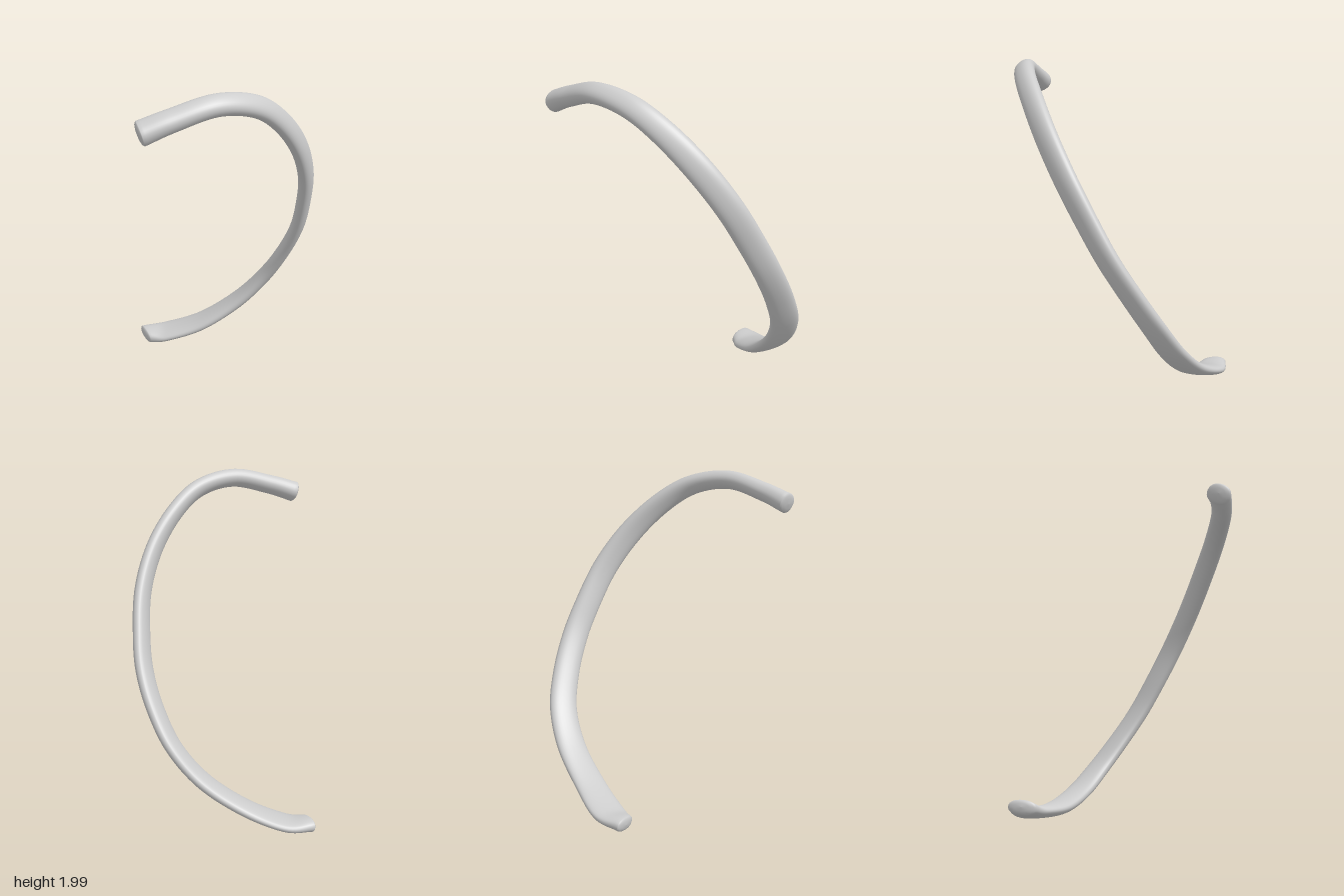
import * as THREE from 'three';

// Stations along the bone: centre xyz, direction of the wide axis xyz, half width, half thickness
const stations = [
  [-0.66, 1.825, 0.535, 0.10, 0.45, -0.90, 0.073, 0.062],
  [-0.50, 1.88, 0.57, 0.10, 0.55, -0.83, 0.067, 0.056],
  [-0.25, 1.94, 0.605, 0.05, 0.60, -0.80, 0.065, 0.052],
  [0.00, 1.90, 0.59, 0.25, 0.65, -0.72, 0.069, 0.049],
  [0.20, 1.775, 0.535, 0.38, 0.65, -0.65, 0.074, 0.047],
  [0.38, 1.585, 0.45, 0.49, 0.64, -0.58, 0.079, 0.045],
  [0.51, 1.36, 0.34, 0.60, 0.52, -0.60, 0.081, 0.044],
  [0.58, 1.12, 0.215, 0.66, 0.42, -0.60, 0.082, 0.043],
  [0.61, 0.93, 0.11, 0.70, 0.36, -0.61, 0.083, 0.043],
  [0.60, 0.73, -0.015, 0.70, 0.32, -0.64, 0.085, 0.042],
  [0.545, 0.525, -0.145, 0.66, 0.26, -0.70, 0.089, 0.041],
  [0.41, 0.325, -0.265, 0.60, 0.18, -0.77, 0.096, 0.040],
  [0.20, 0.155, -0.39, 0.52, 0.12, -0.85, 0.103, 0.038],
  [0.00, 0.065, -0.52, 0.42, 0.08, -0.90, 0.110, 0.036],
  [-0.135, 0.05, -0.575, 0.05, 0.12, -0.99, 0.082, 0.044],
];

const SIDES = 32;
const STEPS = 120;

// Smooth curve through three consecutive columns of the stations
const column = (k) => new THREE.CatmullRomCurve3(
  stations.map((s) => new THREE.Vector3(s[k], s[k + 1], s[k + 2] ?? 0)), false, 'catmullrom', 0.5);

function ribGeometry() {
  const centre = column(0);
  const wide = column(3);
  const size = column(6);
  const positions = [];
  const index = [];

  // One slightly flattened oval ring; scale and push shape the rounded ends
  const addRing = (u, scale, push) => {
    const t = centre.getTangent(u);
    const p = centre.getPoint(u).addScaledVector(t, push);
    const w = wide.getPoint(u).normalize();
    const n = new THREE.Vector3().crossVectors(t, w).normalize();
    const s = size.getPoint(u);
    const round = (v) => Math.sign(v) * Math.abs(v) ** 0.9;
    for (let j = 0; j < SIDES; j++) {
      const a = (j / SIDES) * Math.PI * 2;
      const q = p.clone()
        .addScaledVector(w, s.x * scale * round(Math.cos(a)))
        .addScaledVector(n, s.y * scale * round(Math.sin(a)));
      positions.push(q.x, q.y, q.z);
    }
  };

  const cap = [[0, 0.018], [0.5, 0.016], [0.8, 0.011], [0.94, 0.005]];
  cap.forEach(([scale, push]) => addRing(0, scale, -push));
  for (let i = 0; i <= STEPS; i++) addRing(i / STEPS, 1, 0);
  [...cap].reverse().forEach(([scale, push]) => addRing(1, scale, push));

  const rings = positions.length / 3 / SIDES;
  for (let i = 0; i < rings - 1; i++) {
    for (let j = 0; j < SIDES; j++) {
      const k = (j + 1) % SIDES;
      const a = i * SIDES + j, b = i * SIDES + k;
      const c = a + SIDES, d = b + SIDES;
      if (i > 0) index.push(a, b, c);
      else index.push(a, d, c);
      if (i > 0 && i < rings - 2) index.push(b, d, c);
    }
  }
  const geometry = new THREE.BufferGeometry();
  geometry.setAttribute('position', new THREE.Float32BufferAttribute(positions, 3));
  geometry.setIndex(index);
  geometry.computeVertexNormals();
  return geometry;
}

export function createModel() {
  const group = new THREE.Group();
  group.name = 'rib';
  const bone = new THREE.MeshStandardMaterial({ color: 0xcccccc });
  bone.name = 'bone grey';
  const shaft = new THREE.Mesh(ribGeometry(), bone);
  shaft.name = 'ribShaft';
  group.add(shaft);
  return group;
}
